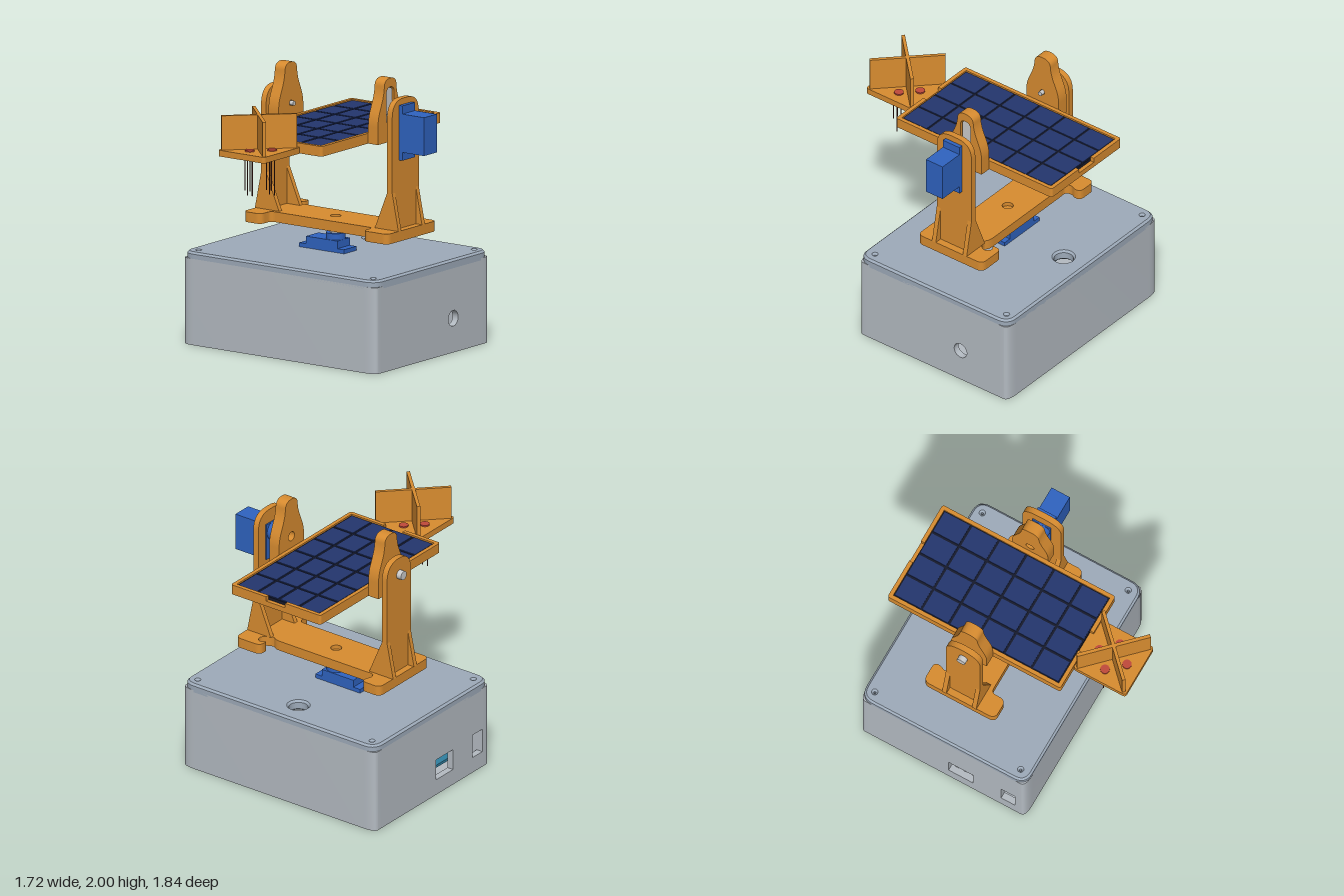
import * as THREE from 'three';
import { toCreasedNormals } from 'three/addons/utils/BufferGeometryUtils.js';

const mat = (color) => new THREE.MeshStandardMaterial({ color });
const ORANGE = mat(0xd88c30), BLUE = mat(0x2f63c0), CASE = mat(0xb4bbc2), LID = mat(0x9eabba);
const NAVY = mat(0x24366e), DARK = mat(0x161a2c), RED = mat(0xc0493a), WIRE = mat(0x5a2a22), GREY = mat(0xcccccc);
const AXIS_Z = -0.205; // depth of both motor axes
const PIVOT_Y = 1.7;   // height of the tilt axis

// Closed outline with rounded corners; a point may carry its own radius
function outline(points, r = 0) {
  const s = new THREE.Shape(), n = points.length;
  const v = points.map((p) => new THREE.Vector2(p[0], p[1]));
  const toward = (a, b, d) => a.clone().add(b.clone().sub(a).setLength(Math.min(d, a.distanceTo(b) / 2)));
  v.forEach((c, i) => {
    const rad = points[i][2] ?? r;
    const a = rad ? toward(c, v[(i + n - 1) % n], rad) : c;
    i ? s.lineTo(a.x, a.y) : s.moveTo(a.x, a.y);
    if (rad) {
      const b = toward(c, v[(i + 1) % n], rad);
      s.quadraticCurveTo(c.x, c.y, b.x, b.y);
    }
  });
  s.closePath();
  return s;
}
const rect = (x0, x1, y0, y1, r = 0) => outline([[x0, y0], [x1, y0], [x1, y1], [x0, y1]], r);
const disc = (x, y, r) => new THREE.Shape().absarc(x, y, r, 0, Math.PI * 2);
const withHoles = (shape, ...holes) => { shape.holes.push(...holes); return shape; };

function add(parent, name, geo, material, x = 0, y = 0, z = 0) {
  const m = new THREE.Mesh(geo, material);
  m.name = name;
  m.position.set(x, y, z);
  parent.add(m);
  return m;
}
// Box given by its limits
const block = (parent, name, material, x0, x1, y0, y1, z0, z1) => add(parent, name,
  new THREE.BoxGeometry(x1 - x0, y1 - y0, z1 - z0), material, (x0 + x1) / 2, (y0 + y1) / 2, (z0 + z1) / 2);
const extrude = (shape, depth) => new THREE.ExtrudeGeometry(shape, { depth, bevelEnabled: false, curveSegments: 10 });
// Plate with an (x, z) outline, between two heights
const plate = (parent, name, material, shape, y0, y1) =>
  add(parent, name, toCreasedNormals(extrude(shape, y1 - y0).rotateX(Math.PI / 2), 0.6), material, 0, y1, 0);
// Wall with a (z, y) outline, between two x positions
const wall = (parent, name, material, shape, x0, x1) =>
  add(parent, name, toCreasedNormals(extrude(shape, x1 - x0).rotateY(-Math.PI / 2), 0.6), material, x1, 0, 0);
const rod = (parent, name, material, r, x0, x1, y, z) =>
  add(parent, name, new THREE.CylinderGeometry(r, r, x1 - x0, 24).rotateZ(Math.PI / 2), material, (x0 + x1) / 2, y, z);

function group(parent, name) {
  const g = new THREE.Group();
  g.name = name;
  parent.add(g);
  return g;
}

// Geared motor with its shaft pointing up on the local y axis
function motor(parent, name) {
  const g = group(parent, name);
  block(g, 'motorBody', BLUE, -0.21, 0.07, 0.485, 0.765, -0.075, 0.075);
  block(g, 'motorFlange', BLUE, -0.27, 0.13, 0.68, 0.71, -0.075, 0.075);
  add(g, 'motorCollar', new THREE.CylinderGeometry(0.07, 0.07, 0.05, 32), BLUE, 0, 0.786, 0);
  add(g, 'motorShaft', new THREE.CylinderGeometry(0.043, 0.043, 0.06, 24), GREY, 0, 0.835, 0);
  return g;
}

function buildCase(root) {
  const g = group(root, 'case');
  // Front and back walls carry the rounded corners
  const ends = outline([[-0.86, 0.39], [0.86, 0.39], [0.86, 0.47, 0.1], [-0.86, 0.47, 0.1]]);
  plate(g, 'frontWall', CASE, ends, 0, 0.63);
  plate(g, 'backWall', CASE, outline([[-0.86, -0.885, 0.1], [0.86, -0.885, 0.1], [0.86, -0.805], [-0.86, -0.805]]), 0, 0.63);
  // Side walls with cable hole and ports
  wall(g, 'leftWall', CASE, withHoles(rect(-0.805, 0.39, 0, 0.63), disc(-0.455, 0.25, 0.058)), 0.81, 0.86);
  wall(g, 'rightWall', CASE, withHoles(rect(-0.805, 0.39, 0, 0.63),
    rect(-0.16, 0.04, 0.12, 0.28), rect(0.27, 0.385, 0.12, 0.3)), -0.86, -0.81);
  block(g, 'floor', CASE, -0.81, 0.81, 0, 0.04, -0.805, 0.39);
  block(g, 'circuitBoard', mat(0x2f7fa0), -0.76, -0.3, 0.13, 0.15, -0.2, 0.36);
  // Chamfered lid with screw holes and a cable opening
  const b = 0.015, lid = rect(-0.86, 0.86, -0.885, 0.47, 0.1);
  for (const x of [-0.78, 0.78]) for (const z of [-0.81, 0.385]) lid.holes.push(disc(x, z, 0.008));
  lid.holes.push(disc(-0.03, -0.69, 0.07));
  const geo = new THREE.ExtrudeGeometry(lid, {
    depth: 0.05, bevelThickness: b, bevelSize: b, bevelOffset: -b, bevelSegments: 1, curveSegments: 10,
  });
  add(g, 'lid', toCreasedNormals(geo.rotateX(Math.PI / 2), 0.5), LID, 0, 0.68 - b, 0);
}

function buildYoke(root) {
  const g = group(root, 'yoke');
  // H-shaped base with two rounded notches at the back
  const base = outline([
    [-0.615, -0.505, 0.05], [-0.455, -0.505, 0.05], [-0.455, -0.45, 0.01], [-0.475, -0.41], [-0.455, -0.365], [-0.4, -0.37],
    [0.41, -0.37], [0.45, -0.345, 0.01], [0.5, -0.36], [0.54, -0.41], [0.5, -0.46], [0.455, -0.43, 0.01],
    [0.455, -0.505, 0.05], [0.675, -0.505, 0.05], [0.675, 0.08, 0.05], [0.455, 0.08, 0.05], [0.455, -0.04],
    [-0.455, -0.04], [-0.455, 0.08, 0.05], [-0.615, 0.08, 0.05],
  ], 0.04);
  plate(g, 'yokeBase', ORANGE, withHoles(base, disc(0, AXIS_Z, 0.04)), 0.855, 0.93);
  add(g, 'shaftSocket', new THREE.CylinderGeometry(0.04, 0.04, 0.04, 24), ORANGE, 0, 0.88, AXIS_Z);

  // Uprights with tapering ribs along both edges
  const upright = (side, x0, x1, z0, z1, top, r, footIn, footOut, hole) => {
    const s = outline([[z0, 0.93], [z1, 0.93], [z1, top, r], [z0, top, r]]);
    if (hole) s.holes.push(hole);
    wall(g, side + 'Upright', ORANGE, s, x0, x1);
    const rib = outline([[footIn, 0.93], [footOut, 0.93], [x1, 1.2], [x0, 1.2]]);
    for (const z of [z0, z1 - 0.035]) add(g, side + 'Rib', extrude(rib, 0.035), ORANGE, 0, 0, z);
  };
  upright('right', -0.565, -0.52, -0.35, -0.07, 1.83, 0.14, -0.62, -0.405);
  upright('left', 0.575, 0.62, -0.365, -0.05, 1.875, 0.13, 0.465, 0.675, rect(-0.28, -0.13, 1.49, 1.77));

  // Pivot bolt
  rod(g, 'boltHead', GREY, 0.034, -0.605, -0.563, PIVOT_Y, AXIS_Z);
  rod(g, 'boltRod', GREY, 0.017, -0.57, -0.37, PIVOT_Y, AXIS_Z);
}

function buildTray(root) {
  const g = group(root, 'panelTray');
  plate(g, 'trayFloor', ORANGE, withHoles(rect(-0.4, 0.4, -0.92, 0.495, 0.02),
    rect(-0.31, 0.31, -0.82, -0.4), rect(-0.31, 0.31, -0.02, 0.4)), 1.535, 1.575);
  // Rim in two halves, leaving a notch at each end
  for (const s of [-1, 1]) {
    plate(g, 'trayRim', ORANGE, outline([[s * 0.085, -0.92], [s * 0.4, -0.92, 0.02], [s * 0.4, 0.495, 0.02], [s * 0.085, 0.495],
      [s * 0.085, 0.465], [s * 0.37, 0.465], [s * 0.37, -0.89], [s * 0.085, -0.89]]), 1.575, 1.61);
  }
  // Solar panel, four by six cells
  block(g, 'panelBacking', DARK, -0.37, 0.37, 1.572, 1.598, -0.89, 0.465);
  const w = 0.74 / 4, d = 1.355 / 6;
  for (let i = 0; i < 4; i++) for (let j = 0; j < 6; j++) {
    add(g, 'solarCell', new THREE.BoxGeometry(w - 0.018, 0.008, d - 0.018), NAVY,
      -0.37 + w * (i + 0.5), 1.6, -0.89 + d * (j + 0.5));
  }

  // Tapered pivot brackets
  const bracket = () => outline([
    [AXIS_Z - 0.147, 1.535, 0], [AXIS_Z + 0.147, 1.535, 0], [AXIS_Z + 0.147, 1.72], [AXIS_Z + 0.075, 1.89],
    [AXIS_Z + 0.068, 2, 0.08], [AXIS_Z - 0.068, 2, 0.08], [AXIS_Z - 0.075, 1.89], [AXIS_Z - 0.147, 1.72],
  ], 0.06);
  const hornSlot = (r) => rect(AXIS_Z - r, AXIS_Z + r, PIVOT_Y - r, 1.89 + r, r);
  wall(g, 'rightBracket', ORANGE, withHoles(bracket(), disc(AXIS_Z, PIVOT_Y, 0.02)), -0.49, -0.4);
  wall(g, 'leftBracketInner', ORANGE, withHoles(bracket(), disc(AXIS_Z, PIVOT_Y, 0.035)), 0.4, 0.45);
  wall(g, 'leftBracketOuter', ORANGE, withHoles(bracket(), hornSlot(0.045)), 0.45, 0.487);
  wall(g, 'motorHorn', GREY, hornSlot(0.038), 0.45, 0.475);
}

function buildSensor(root) {
  const g = group(root, 'lightSensor');
  const cz = 0.705;
  plate(g, 'sensorPlate', ORANGE, rect(-0.208, 0.208, 0.49, 0.92, 0.025), 1.535, 1.58);
  // Crossed shading fins
  for (const s of [-1, 1]) {
    add(g, 'shadeFin', new THREE.BoxGeometry(0.545, 0.25, 0.025), ORANGE, 0, 1.705, cz).rotation.y = s * Math.PI / 4;
  }
  // Light cells with their wire legs
  for (const [x, z] of [[0, -0.115], [0, 0.11], [-0.11, -0.008], [0.11, -0.008]]) {
    add(g, 'lightCell', new THREE.CylinderGeometry(0.034, 0.034, 0.03, 24), RED, x, 1.575, cz + z);
    for (const dx of [-0.022, 0.022]) {
      add(g, 'wireLeg', new THREE.CylinderGeometry(0.004, 0.004, 0.3, 8), WIRE, x + dx, 1.405, cz + z);
    }
  }
}

export function createModel() {
  const root = new THREE.Group();
  root.name = 'solarTracker';
  buildCase(root);
  motor(root, 'panMotor').position.z = AXIS_Z;
  buildYoke(root);
  const tilt = motor(root, 'tiltMotor');
  tilt.rotation.z = Math.PI / 2;
  tilt.position.set(1.33, PIVOT_Y, AXIS_Z);
  buildTray(root);
  buildSensor(root);
  return root;
}
